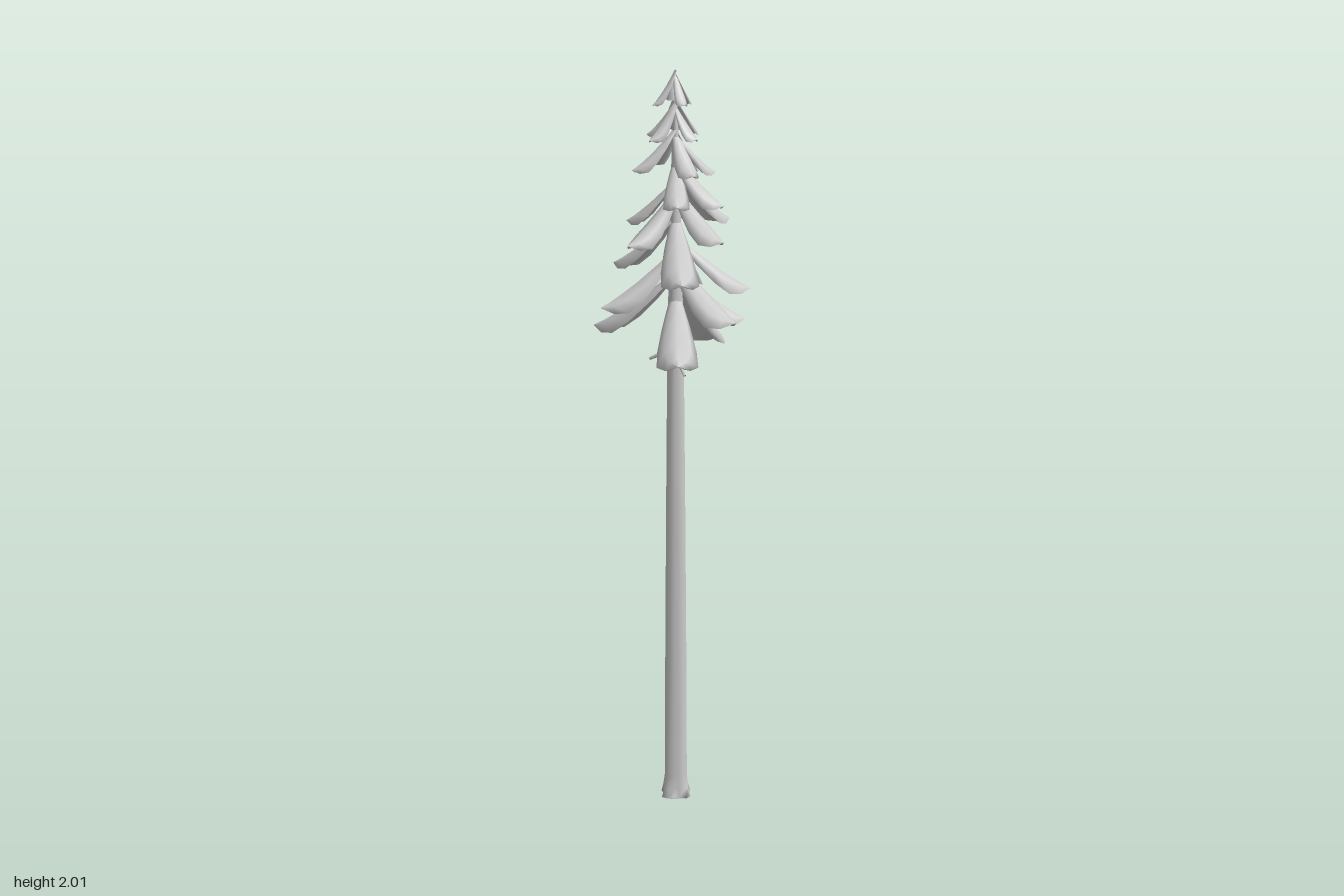
import * as THREE from 'three';

const AX = -0.008, AZ = 0.024; // trunk axis

const grey = new THREE.MeshStandardMaterial({ color: 0xcccccc });
grey.name = 'pale grey';

// Leaf tips: x, y, z, full width
const TIPS = [
  // lowest tier
  [-0.13, 1.26, -0.23, 0.10], [0.175, 1.26, 0.155, 0.11], [-0.2, 1.32, 0.155, 0.10],
  [0.198, 1.36, -0.015, 0.10], [-0.07, 1.39, 0.225, 0.095], [0.11, 1.35, -0.12, 0.09],
  // second tier
  [-0.135, 1.43, -0.13, 0.09], [0.1, 1.43, -0.145, 0.09], [0.172, 1.47, 0.14, 0.10],
  [-0.17, 1.49, 0.11, 0.085], [0.165, 1.57, 0.0, 0.08], [0.01, 1.56, 0.195, 0.08],
  // third tier
  [-0.142, 1.61, -0.08, 0.08], [0.015, 1.61, -0.14, 0.08], [-0.11, 1.61, 0.11, 0.07],
  [0.13, 1.66, -0.03, 0.07], [0.085, 1.66, 0.09, 0.07],
  // upper tiers
  [-0.105, 1.76, 0.04, 0.06], [-0.045, 1.75, 0.14, 0.06], [-0.07, 1.74, -0.085, 0.06],
  [0.1, 1.74, 0.045, 0.06], [0.045, 1.74, -0.07, 0.06],
  [-0.08, 1.85, -0.01, 0.05], [0.055, 1.83, 0.0, 0.05], [0.0, 1.83, 0.115, 0.05],
  [-0.02, 1.84, -0.06, 0.045], [-0.06, 1.84, 0.08, 0.045],
  [-0.06, 1.93, 0.04, 0.035], [0.04, 1.92, 0.03, 0.035], [-0.02, 1.92, 0.09, 0.035],
  [-0.01, 1.92, -0.03, 0.035],
];

// Skins a list of equally sized closed rings into a solid
function loft(rings) {
  const n = rings[0].length, idx = [];
  for (let i = 0; i < rings.length - 1; i++) {
    for (let j = 0; j < n; j++) {
      const a = i * n + j, b = i * n + (j + 1) % n;
      idx.push(a, a + n, b, b, a + n, b + n);
    }
  }
  const last = (rings.length - 1) * n;
  for (let j = 1; j < n - 1; j++) {
    idx.push(0, j, j + 1, last, last + j + 1, last + j);
  }
  const g = new THREE.BufferGeometry();
  g.setAttribute('position', new THREE.Float32BufferAttribute(rings.flat(2), 3));
  g.setIndex(idx);
  g.computeVertexNormals();
  return g;
}

// Drooping kite-shaped leaf: arched on top, hollow beneath, local +z outwards
function leafGeometry(length, drop, width) {
  // along, share of the drop, share of the width
  const stations = [
    [0, 0, 0.3], [0.25, 0.33, 0.68], [0.5, 0.63, 0.95],
    [0.7, 0.83, 1], [0.87, 0.95, 0.6], [1, 1, 0.04],
  ];
  return loft(stations.map(([t, d, w]) => {
    const h = width * w / 2, z = t * length, y = -d * drop;
    const section = [
      [1, -0.75], [0.55, -0.65], [0, -0.35], [-0.55, -0.65],
      [-1, -0.75], [-0.65, -0.05], [0, 0.25], [0.65, -0.05],
    ];
    return section.map(([sx, sy]) => [sx * h, y + sy * h, z]);
  }));
}

function makeFoliage() {
  const foliage = new THREE.Group();
  foliage.name = 'foliage';
  TIPS.forEach(([x, y, z, w], i) => {
    const dx = x - AX, dz = z - AZ, length = Math.hypot(dx, dz);
    const drop = 0.055 + 0.43 * length;
    const leaf = new THREE.Mesh(leafGeometry(length, drop, w), grey);
    leaf.name = 'leaf' + (i + 1);
    leaf.position.set(AX, y + drop, AZ);
    leaf.rotation.y = Math.atan2(dx, dz);
    foliage.add(leaf);
  });
  return foliage;
}

// Trunk with flared, lobed roots, tapering up through the crown
function makeTrunk() {
  const sides = 16;
  // height, radius, lobe depth
  const levels = [
    [0, 0.042, 0.2], [0.025, 0.037, 0.16], [0.06, 0.033, 0.08], [0.4, 0.031, 0.06],
    [0.8, 0.028, 0.06], [1.2, 0.024, 0.05], [1.5, 0.018, 0], [1.8, 0.01, 0], [1.95, 0.004, 0],
  ];
  const rings = levels.map(([y, r, lobe]) => Array.from({ length: sides }, (_, j) => {
    const a = j / sides * Math.PI * 2;
    const q = r * (1 + lobe * Math.cos(a * 4 + 0.6));
    return [AX + q * Math.cos(a), y, AZ + q * Math.sin(a)];
  }));
  const trunk = new THREE.Mesh(loft(rings), grey);
  trunk.name = 'trunk';
  return trunk;
}

// Bare broken twig between two points
function makeTwig(name, from, to) {
  const a = new THREE.Vector3(...from), b = new THREE.Vector3(...to);
  const dir = b.clone().sub(a);
  const twig = new THREE.Mesh(new THREE.CylinderGeometry(0.004, 0.008, dir.length(), 6), grey);
  twig.name = name;
  twig.position.copy(a).add(b).multiplyScalar(0.5);
  twig.quaternion.setFromUnitVectors(new THREE.Vector3(0, 1, 0), dir.normalize());
  return twig;
}

export function createModel() {
  const tree = new THREE.Group();
  tree.name = 'conifer';
  tree.add(makeTrunk(), makeFoliage());

  // Pointed top
  const spire = new THREE.Mesh(new THREE.ConeGeometry(0.022, 0.07, 6), grey);
  spire.name = 'spire';
  spire.position.set(AX, 1.965, AZ + 0.003);
  tree.add(spire);

  tree.add(
    makeTwig('rightTwig', [AX, 1.27, AZ], [-0.07, 1.235, 0.065]),
    makeTwig('leftTwig', [AX, 1.25, AZ], [0.04, 1.2, 0.03]),
  );
  return tree;
}
